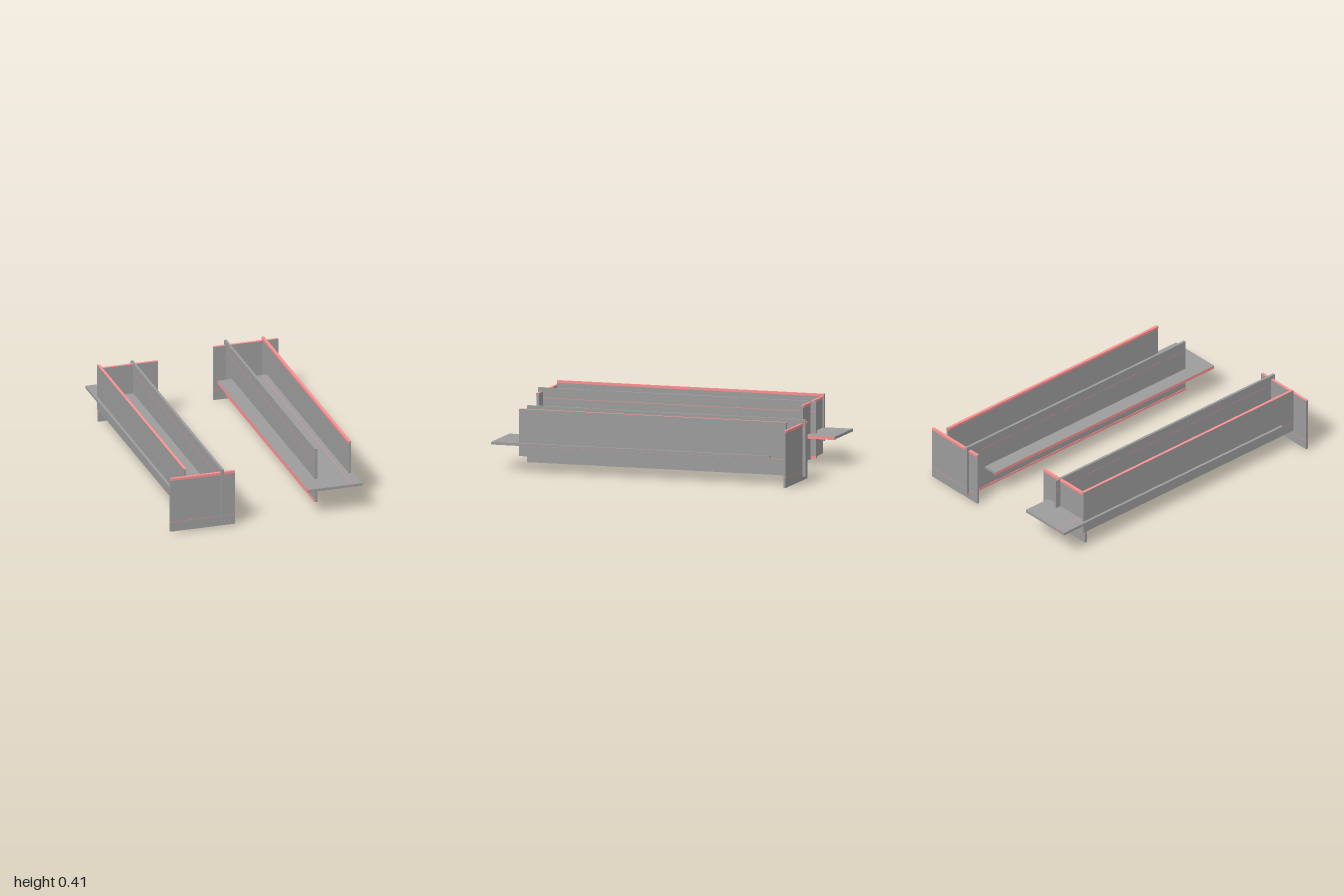
import * as THREE from 'three';

const grey = new THREE.MeshStandardMaterial({ color: 0x9c9c9c, flatShading: true });
const red = new THREE.MeshStandardMaterial({ color: 0xfa9090, flatShading: true });

const LIP = 0.015;     // depth of the lip along the banded edge
const PROUD = 0.003;   // how far the lip stands out from its face
const GROOVE = 0.065;  // groove distance from the unbanded edge
const LINE = 0.0015;   // half the width of the groove line

// Box geometry between two opposite corners
function boxBetween(min, max, segments = [1, 1, 1]) {
  const size = max.map((v, i) => v - min[i]);
  const geometry = new THREE.BoxGeometry(...size, ...segments);
  geometry.translate(...min.map((v, i) => v + size[i] / 2));
  return geometry;
}

// Board with a banded edge, a lip on one face and a fine groove line near the far edge.
// width: axis across the board, side: its banded end (+1 or -1)
// thick: axis through the board, face: side that carries the lip (+1 or -1)
function board(name, min, max, width, side, thick, face) {
  const g = new THREE.Group();
  g.name = name;
  const edge = side > 0 ? max[width] : min[width];
  const line = side > 0 ? min[width] + GROOVE : max[width] - GROOVE;

  // Panel: three strips across the width, the middle one being the groove line
  const segments = [1, 1, 1];
  segments[width] = 3;
  const geometry = boxBetween(min, max, segments);
  const p = geometry.attributes.position;
  const stops = [min[width], line - LINE, line + LINE, max[width]];
  const length = max[width] - min[width];
  for (let i = 0; i < p.count; i++) {
    const k = Math.round((p.getComponent(i, width) - min[width]) / length * 3);
    p.setComponent(i, width, stops[k]);
  }

  // Red for the groove strip and the banded edge, grey elsewhere
  geometry.clearGroups();
  const index = geometry.index;
  for (let i = 0; i < index.count; i += 6) {
    let middle = 0;
    for (let j = 0; j < 6; j++) middle += p.getComponent(index.getX(i + j), width) / 6;
    const coloured = Math.abs(middle - line) < LINE || Math.abs(middle - edge) < 1e-5;
    geometry.addGroup(i, 6, coloured ? 1 : 0);
  }
  const panel = new THREE.Mesh(geometry, [grey, red]);
  panel.name = name + 'Panel';

  // Lip along the banded edge
  const lipMin = [...min], lipMax = [...max];
  if (side > 0) lipMin[width] = edge - LIP;
  else lipMax[width] = edge + LIP;
  if (face > 0) {
    lipMin[thick] = max[thick];
    lipMax[thick] = max[thick] + PROUD;
  } else {
    lipMin[thick] = min[thick] - PROUD;
    lipMax[thick] = min[thick];
  }
  const lip = new THREE.Mesh(boxBetween(lipMin, lipMax), red);
  lip.name = name + 'Lip';

  g.add(panel, lip);
  return g;
}

// One long tray: shelf, two long walls and an end panel
function tray(name) {
  const g = new THREE.Group();
  g.name = name;
  g.add(
    board('shelf', [0.23, 0.167, -0.845], [0.59, 0.184, 1], 0, -1, 1, -1),
    board('innerWall', [0.326, 0.026, -1], [0.342, 0.387, 0.845], 1, -1, 0, -1),
    board('outerWall', [0.558, 0.1, -0.95], [0.573, 0.4, 0.82], 1, 1, 0, -1),
    board('endPanel', [0.247, 0, -0.981], [0.673, 0.362, -0.966], 1, 1, 2, -1)
  );
  return g;
}

export function createModel() {
  const model = new THREE.Group();
  model.name = 'trayPair';

  const left = tray('leftTray');

  // The second tray is turned half round, slightly higher, with a second end panel
  const right = tray('rightTray');
  right.rotation.y = Math.PI;
  right.position.y = 0.01;
  right.add(board('secondEndPanel', [0.18, 0.02, 0.793], [0.573, 0.382, 0.808], 1, 1, 2, 1));

  model.add(left, right);
  return model;
}
